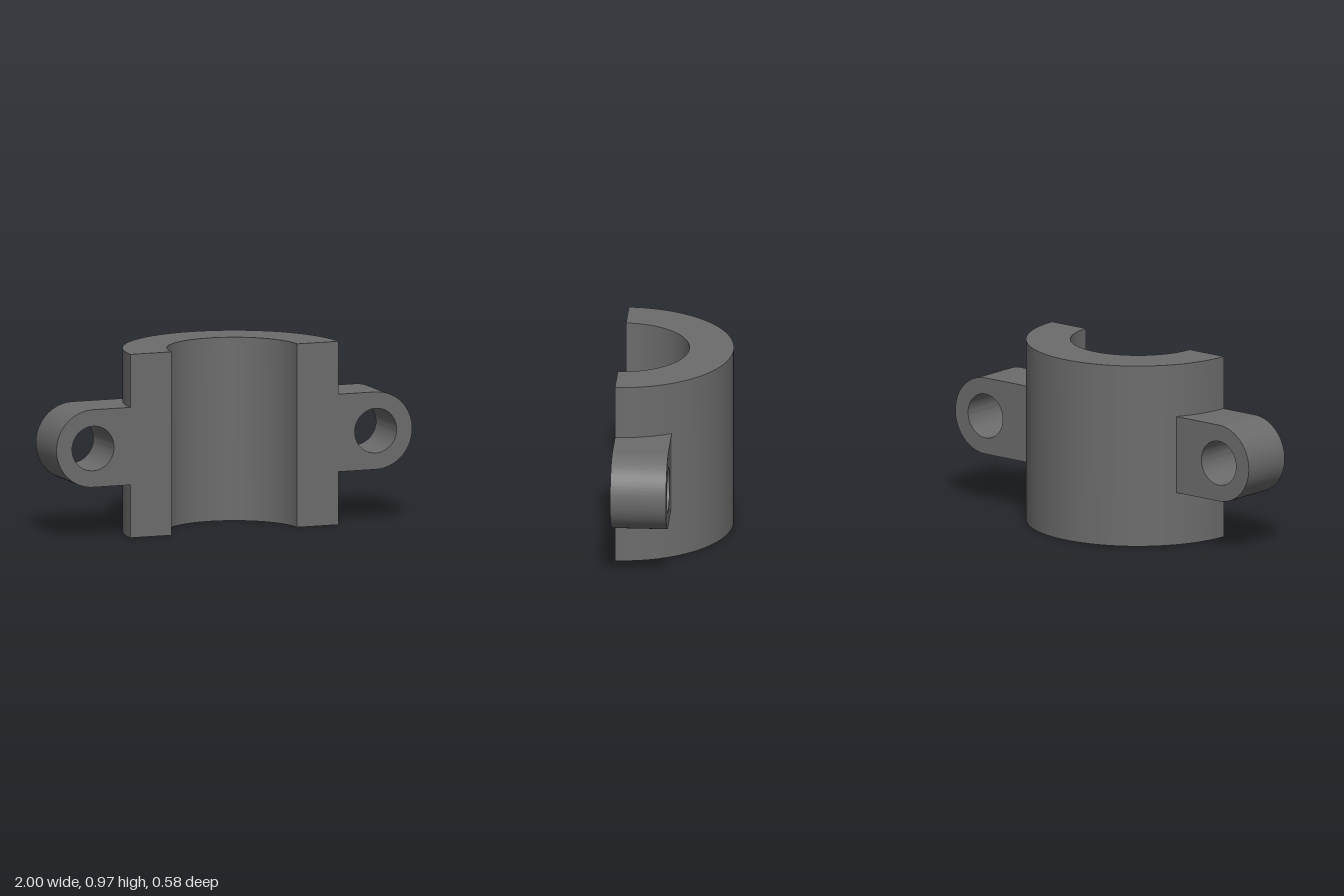
import * as THREE from 'three';
import { toCreasedNormals } from 'three/addons/utils/BufferGeometryUtils.js';

const HEIGHT = 0.97;
const OUTER = 0.585, INNER = 0.353;   // half-ring radii
const FRONT = 0.292;                  // z of the flat mating face and ring axis
const LUG_X = 0.795, LUG_R = 0.205, HOLE_R = 0.118;

// Half ring, extruded upwards, bulging to the back
function shellGeometry() {
  const shape = new THREE.Shape();
  shape.absarc(0, 0, OUTER, 0, Math.PI, false);
  shape.absarc(0, 0, INNER, Math.PI, 0, true);
  shape.closePath();
  const geo = new THREE.ExtrudeGeometry(shape, { depth: HEIGHT, bevelEnabled: false, curveSegments: 64 });
  geo.rotateX(-Math.PI / 2).translate(0, 0, FRONT);
  return toCreasedNormals(geo, 0.5);
}

// Rounded lug with a bolt hole; its inner end follows the curved shell
function lugGeometry() {
  const shape = new THREE.Shape();
  shape.moveTo(OUTER, -LUG_R);
  shape.lineTo(LUG_X, -LUG_R);
  shape.absarc(LUG_X, 0, LUG_R, -Math.PI / 2, Math.PI / 2, false);
  shape.lineTo(OUTER, LUG_R);
  shape.closePath();
  const hole = new THREE.Path();
  hole.absarc(LUG_X, 0, HOLE_R, 0, Math.PI * 2, true);
  shape.holes.push(hole);

  const geo = new THREE.ExtrudeGeometry(shape, { depth: FRONT, steps: 10, bevelEnabled: false, curveSegments: 48 });
  const pos = geo.attributes.position;
  for (let i = 0; i < pos.count; i++) {
    if (pos.getX(i) < OUTER + 1e-4) {
      const dz = FRONT - pos.getZ(i);
      pos.setX(i, Math.sqrt(OUTER * OUTER - dz * dz) - 0.003);
    }
  }
  return toCreasedNormals(geo, 0.5);
}

export function createModel() {
  const group = new THREE.Group();
  group.name = 'pipeClampHalf';
  const material = new THREE.MeshStandardMaterial({ color: 0x6c6c6c });

  const shell = new THREE.Mesh(shellGeometry(), material);
  shell.name = 'halfRingShell';
  group.add(shell);

  // The lug is symmetric in height, so half a turn about z gives the other side
  const lugGeo = lugGeometry();
  for (const [name, turn] of [['leftLug', 0], ['rightLug', Math.PI]]) {
    const lug = new THREE.Mesh(lugGeo, material);
    lug.name = name;
    lug.position.y = HEIGHT / 2;
    lug.rotation.z = turn;
    group.add(lug);
  }
  return group;
}
